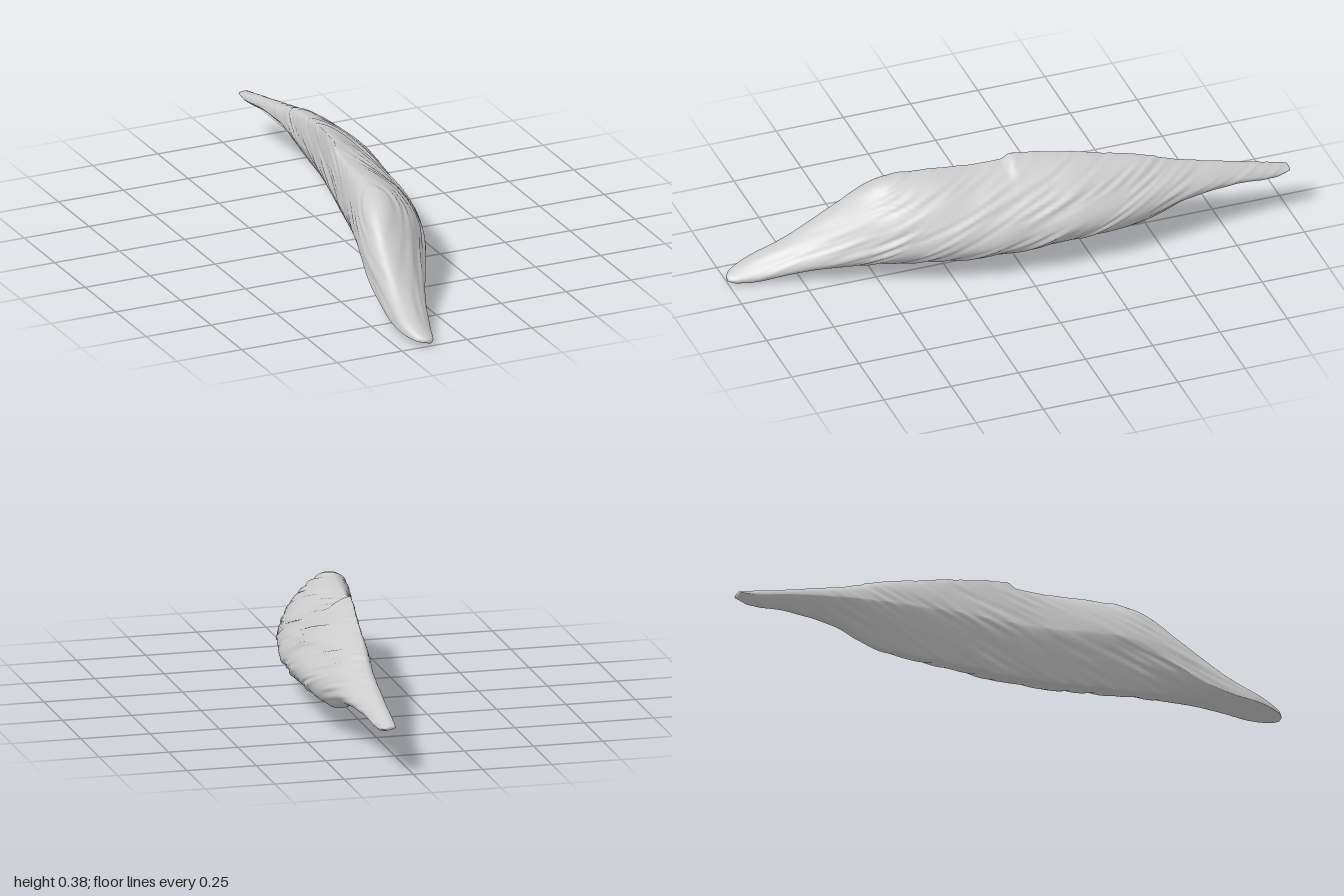
import * as THREE from 'three';

// Cross-sections along z: z, left x, right x, bottom y, top y, x of top ridge, x of bottom edge,
// height of the leftmost point as a share of the section
const SECTIONS = [
  [1.0, -0.16, -0.135, 0.012, 0.028, -0.148, -0.14, 0.4],
  [0.98, -0.185, -0.12, 0.007, 0.04, -0.16, -0.13, 0.4],
  [0.9, -0.21, -0.095, 0.003, 0.075, -0.165, -0.122, 0.4],
  [0.8, -0.207, -0.06, 0.018, 0.12, -0.155, -0.125, 0.25],
  [0.7, -0.199, -0.02, 0.032, 0.18, -0.14, -0.125, 0.25],
  [0.6, -0.19, 0.025, 0.036, 0.25, -0.12, -0.11, 0.35],
  [0.5, -0.175, 0.073, 0.04, 0.322, -0.09, -0.085, 0.45],
  [0.43, -0.16, 0.105, 0.042, 0.35, -0.075, -0.065, 0.52],
  [0.3, -0.127, 0.147, 0.044, 0.362, -0.06, -0.035, 0.54],
  [0.15, -0.09, 0.178, 0.046, 0.355, -0.05, 0, 0.54],
  [0, -0.058, 0.192, 0.055, 0.36, -0.037, 0.03, 0.54],
  [-0.2, -0.022, 0.206, 0.078, 0.357, -0.005, 0.072, 0.56],
  [-0.4, 0.002, 0.193, 0.095, 0.328, 0.028, 0.105, 0.6],
  [-0.5, 0.016, 0.178, 0.122, 0.306, 0.045, 0.11, 0.6],
  [-0.6, 0.03, 0.162, 0.153, 0.277, 0.06, 0.108, 0.6],
  [-0.8, 0.047, 0.132, 0.164, 0.23, 0.075, 0.1, 0.6],
  [-0.94, 0.055, 0.118, 0.152, 0.198, 0.08, 0.092, 0.55],
  [-1.0, 0.062, 0.108, 0.168, 0.183, 0.083, 0.087, 0.5],
];

// Smooth interpolation of a whole row at a given z
function sectionAt(z) {
  const last = SECTIONS.length - 1;
  let i = 0;
  while (i < last - 1 && SECTIONS[i + 1][0] > z) i++;
  const row = (n) => SECTIONS[Math.min(last, Math.max(0, n))];
  const [p, a, b, q] = [row(i - 1), row(i), row(i + 1), row(i + 2)];
  const h = b[0] - a[0], t = (z - a[0]) / h;
  return a.map((v, k) => {
    const m0 = ((b[k] - p[k]) / (b[0] - p[0])) * h;
    const m1 = ((q[k] - a[k]) / (q[0] - a[0])) * h;
    const t2 = t * t, t3 = t2 * t;
    return (2 * t3 - 3 * t2 + 1) * v + (t3 - 2 * t2 + t) * m0 + (3 * t2 - 2 * t3) * b[k] + (t3 - t2) * m1;
  });
}

// Point on the outline: four quarter arcs, each flattened towards its chord
const ROUNDNESS = [0.7, 0.95, 0.3, 1.1];
function outline([, left, right, bottom, top, topX, botX, leftShare], u) {
  const h = top - bottom;
  const corners = [
    [topX, top], [right, bottom + h * 0.34],
    [botX, bottom], [left, bottom + h * leftShare],
  ];
  const quad = Math.floor(u * 4) % 4, t = u * 4 - Math.floor(u * 4);
  const a = corners[quad], b = corners[(quad + 1) % 4];
  const s = Math.sin(t * Math.PI / 2), c = Math.cos(t * Math.PI / 2);
  const arc = quad % 2 === 0
    ? [a[0] + (b[0] - a[0]) * s, b[1] + (a[1] - b[1]) * c]
    : [b[0] + (a[0] - b[0]) * c, a[1] + (b[1] - a[1]) * s];
  const k = ROUNDNESS[quad];
  return arc.map((v, n) => v * k + (a[n] + (b[n] - a[n]) * s * s) * (1 - k));
}

// Slanting fibre grooves, broken into short uneven streaks
function fibre(x, y, z) {
  const q = y + 0.4 * z - 0.25 * x;
  const along = z - 0.4 * y;
  const patch = (f, g) => Math.max(0, Math.sin(along * f + 3 * Math.sin(q * g)));
  const fine = Math.sin(q * 190 + 2 * Math.sin(z * 9 + y * 12)) * patch(13, 23);
  const broad = Math.sin(q * 97 + 2.5 * Math.sin(y * 21 + z * 6)) * patch(9, 31);
  return fine + broad + 0.4 * Math.sin(q * 47 + 2 * Math.sin(along * 8));
}

// Small raised lip on the top ridge: abrupt in front, fading towards the back
function lip(u, z) {
  const fromRidge = Math.min(u, 1 - u) / 0.06;
  const rise = THREE.MathUtils.smoothstep(-z, -0.025, 0.015);
  return 0.024 * rise * Math.exp(-fromRidge * fromRidge) * Math.exp(Math.min(0, z) / 0.15);
}

function buildBody() {
  const rings = 280, sides = 128;
  const positions = [], index = [];
  for (let i = 0; i <= rings; i++) {
    // Rings crowd together at both ends
    const f = i / rings;
    const z = 1 - 2 * (f - 0.1 * Math.sin(f * Math.PI * 2) / Math.PI);
    const s = sectionAt(z);
    const cx = (s[1] + s[2]) / 2, cy = (s[3] + s[4]) / 2;
    const depth = 0.003 * Math.min(1, (s[4] - s[3]) / 0.2);
    for (let j = 0; j < sides; j++) {
      const u = j / sides;
      const [x, y] = outline(s, u);
      const r = Math.hypot(x - cx, y - cy);
      const d = depth * fibre(x, y, z) * (u < 0.5 ? 1 : 0.7);
      positions.push(x + ((x - cx) / r) * d, y + ((y - cy) / r) * d + lip(u, z), z);
      if (i < rings) {
        const a = i * sides + j, b = i * sides + (j + 1) % sides;
        index.push(a, b, a + sides, b, b + sides, a + sides);
      }
    }
  }
  // Close the two tips
  for (const [ring, z, flip] of [[0, 1, true], [rings, -1, false]]) {
    const s = sectionAt(z), centre = positions.length / 3;
    positions.push((s[1] + s[2]) / 2, (s[3] + s[4]) / 2, z);
    for (let j = 0; j < sides; j++) {
      const a = ring * sides + j, b = ring * sides + (j + 1) % sides;
      index.push(centre, flip ? b : a, flip ? a : b);
    }
  }
  const geometry = new THREE.BufferGeometry();
  geometry.setAttribute('position', new THREE.Float32BufferAttribute(positions, 3));
  geometry.setIndex(index);
  geometry.computeVertexNormals();
  return geometry;
}

export function createModel() {
  const group = new THREE.Group();
  group.name = 'muscle';
  const body = new THREE.Mesh(buildBody(), new THREE.MeshStandardMaterial({ color: 0xcccccc }));
  body.name = 'muscleBelly';
  group.add(body);
  return group;
}
